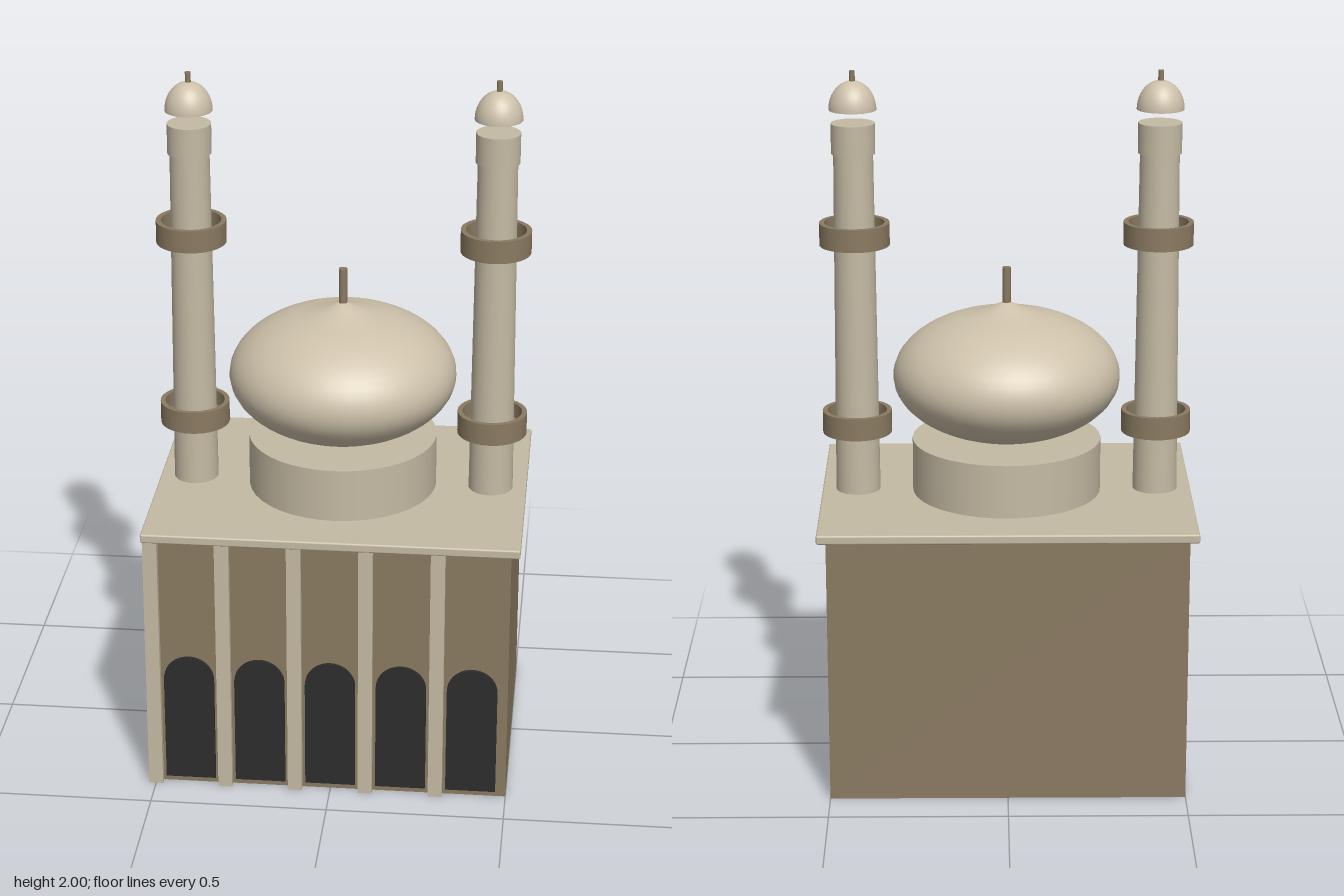
import * as THREE from 'three';
import { RoundedBoxGeometry } from 'three/addons/geometries/RoundedBoxGeometry.js';

const makeMaterial = (name, color, side = THREE.FrontSide) => {
  const m = new THREE.MeshStandardMaterial({ color, side });
  m.name = name;
  return m;
};

export function createModel() {
  const stone = makeMaterial('pale stone', 0xc4baa3);
  const domeStone = makeMaterial('dome stone', 0xcdc1aa, THREE.DoubleSide);
  const brown = makeMaterial('brown stone', 0x8a7a61);
  const dark = makeMaterial('dark opening', 0x2d2d2d);

  const model = new THREE.Group();
  model.name = 'domedHall';

  const add = (parent, name, geometry, material, x = 0, y = 0, z = 0) => {
    const mesh = new THREE.Mesh(geometry, material);
    mesh.name = name;
    mesh.position.set(x, y, z);
    parent.add(mesh);
    return mesh;
  };
  // Cylinder placed by its bottom and top heights
  const column = (parent, name, rBottom, rTop, y0, y1, material, segments = 32) =>
    add(parent, name, new THREE.CylinderGeometry(rTop, rBottom, y1 - y0, segments), material, 0, (y0 + y1) / 2);

  // Hall and roof slab
  add(model, 'hall', new THREE.BoxGeometry(1, 0.77, 0.76), brown, 0, 0.385);
  add(model, 'roofSlab', new RoundedBoxGeometry(1.05, 0.026, 0.81, 2, 0.005), stone, 0, 0.782);

  // Round-headed openings, each with a pilaster on its left-hand side in the front view
  const arch = new THREE.Shape();
  arch.moveTo(-0.071, 0.018);
  arch.lineTo(0.071, 0.018);
  arch.lineTo(0.071, 0.335);
  arch.absarc(0, 0.335, 0.071, 0, Math.PI, false);
  arch.closePath();
  const archGeometry = new THREE.ExtrudeGeometry(arch, { depth: 0.009, bevelEnabled: false, curveSegments: 16 });
  const pilasterGeometry = new THREE.BoxGeometry(0.04, 0.77, 0.03);
  for (let i = 0; i < 5; i++) {
    const x = -0.4 + i * 0.2;
    add(model, 'archedOpening', archGeometry, dark, x, 0, 0.38);
    add(model, 'pilaster', pilasterGeometry, stone, x - 0.1, 0.385, 0.386);
  }

  // Drum
  column(model, 'drum', 0.267, 0.267, 0.79, 0.948, stone, 40);

  // Bulbous dome: half-ellipse below, flatter ellipse above, drawn up to a tip
  const profile = [];
  for (let i = 0; i <= 26; i++) {
    const a = -Math.PI / 2 + (i / 26) * (Math.PI * 0.9);
    const h = a < 0 ? 0.18 : 0.188;
    profile.push(new THREE.Vector2(Math.max(0, 0.32 * Math.cos(a)), 1.132 + h * Math.sin(a)));
  }
  for (const [r, y] of [[0.065, 1.322], [0.035, 1.333], [0.012, 1.344], [0, 1.346]]) {
    profile.push(new THREE.Vector2(r, y));
  }
  add(model, 'dome', new THREE.LatheGeometry(profile, 40), domeStone);
  column(model, 'domeFinial', 0.012, 0.012, 1.33, 1.445, brown, 16);

  // Balcony: solid floor with a raised parapet round its rim
  const balconyProfile = [[0.05, 0], [0.098, 0], [0.098, 0.064], [0.084, 0.064], [0.084, 0.02], [0.05, 0.02]]
    .map(([r, y]) => new THREE.Vector2(r, y));
  const addBalcony = (parent, y) => {
    const balcony = new THREE.Group();
    balcony.name = 'balcony';
    balcony.position.y = y;
    // One lathe per straight run keeps the edges crisp
    for (let i = 0; i < balconyProfile.length - 1; i++) {
      add(balcony, 'balconyFace', new THREE.LatheGeometry(balconyProfile.slice(i, i + 2), 32), brown);
    }
    parent.add(balcony);
  };

  // Towers on both sides
  for (const side of [-1, 1]) {
    const tower = new THREE.Group();
    tower.name = side > 0 ? 'leftTower' : 'rightTower';
    tower.position.x = side * 0.423;
    column(tower, 'shaft', 0.063, 0.055, 0.79, 1.775, stone);
    addBalcony(tower, 0.966);
    addBalcony(tower, 1.511);
    column(tower, 'collar', 0.061, 0.061, 1.77, 1.855, stone);
    const cap = add(tower, 'cap', new THREE.SphereGeometry(0.066, 32, 12, 0, Math.PI * 2, 0, Math.PI / 2), domeStone, 0, 1.892);
    cap.scale.y = 1.22;
    column(tower, 'capFinial', 0.008, 0.008, 1.96, 2, brown, 12);
    model.add(tower);
  }

  return model;
}
